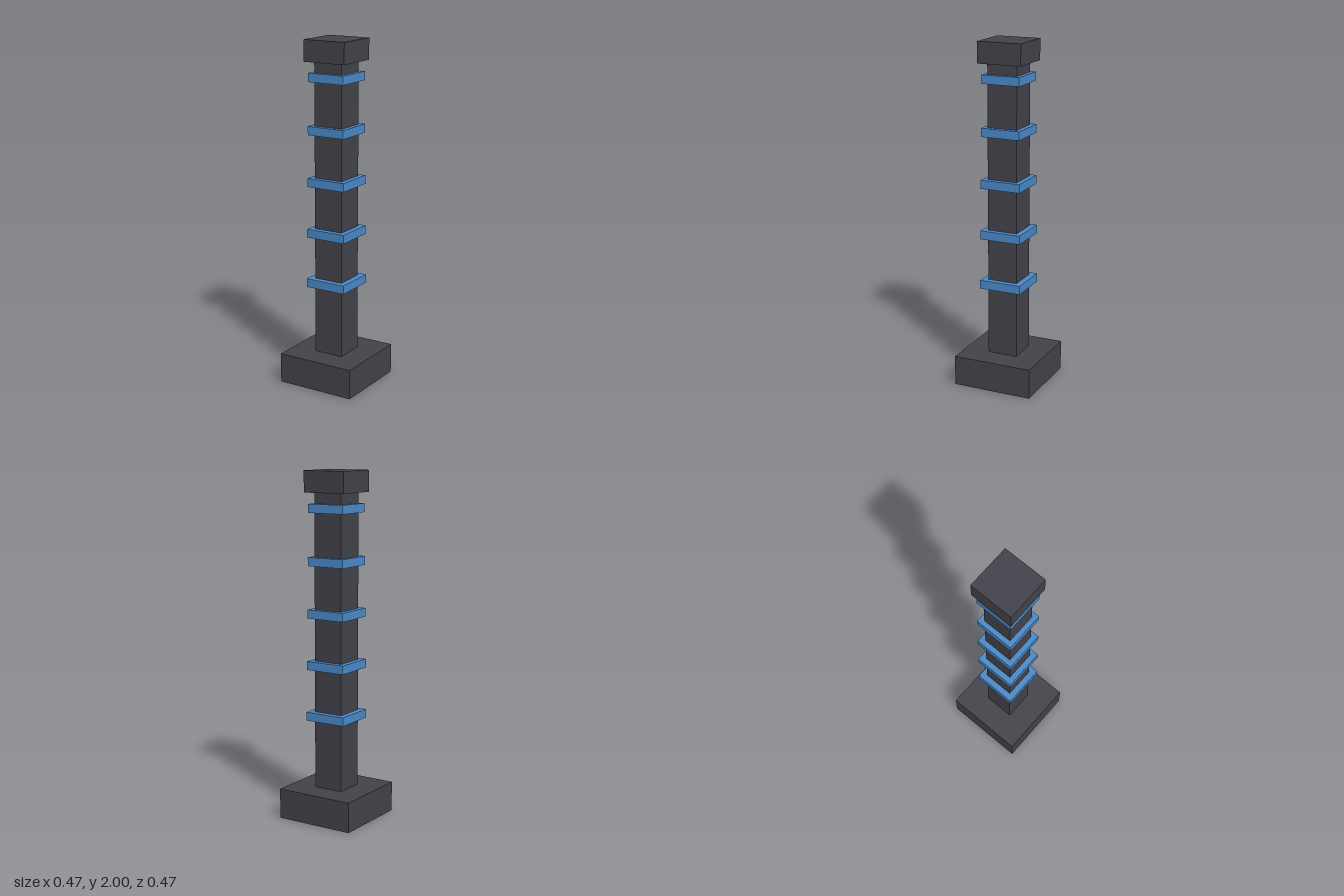
import * as THREE from 'three';

export function createModel() {
  const model = new THREE.Group();
  const stone = new THREE.MeshStandardMaterial({ color: 0x42424a });
  stone.name = 'dark stone';
  const blue = new THREE.MeshStandardMaterial({ color: 0x4a8aca });
  blue.name = 'blue band';

  // Square block between two heights
  function block(name, width, bottom, top, material) {
    const mesh = new THREE.Mesh(new THREE.BoxGeometry(width, top - bottom, width), material);
    mesh.position.y = (bottom + top) / 2;
    mesh.name = name;
    model.add(mesh);
  }

  block('base', 0.472, 0, 0.175, stone);
  block('shaft', 0.178, 0.175, 1.878, stone);
  block('cap', 0.262, 1.878, 2, stone);

  // Bands around the shaft, slightly narrower towards the top
  for (let i = 0; i < 5; i++) {
    const y = 0.6 + i * 0.2975;
    block(`band${i + 1}`, 0.249 - i * 0.0053, y - 0.025, y + 0.025, blue);
  }
  return model;
}
